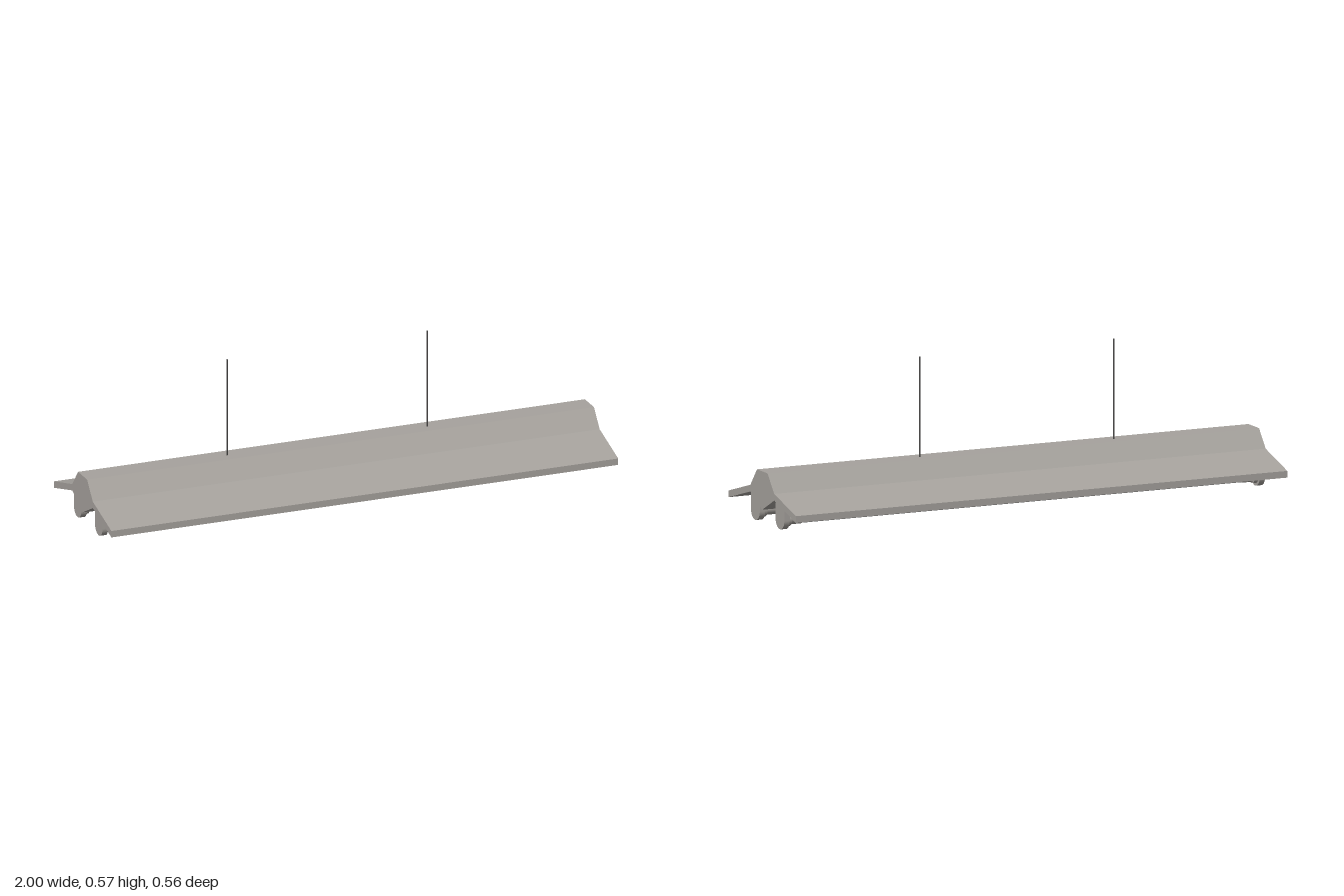
import * as THREE from 'three';

export function createModel() {
  const group = new THREE.Group();
  group.name = 'hangingStripLight';
  const mat = (name, color) => new THREE.MeshStandardMaterial({ name, color });
  const housing = mat('housing grey', 0xa6a29d);
  const glass = mat('tube grey', 0xb0b0b0);
  const metal = mat('rod dark grey', 0x4c4a49);

  const add = (name, geometry, material, x = 0, y = 0, z = 0) => {
    const mesh = new THREE.Mesh(geometry, material);
    mesh.name = name;
    mesh.position.set(x, y, z);
    group.add(mesh);
    return mesh;
  };
  // Extrudes a (-z, y) profile along x, centred on x = 0
  const extrudeX = (shape, length) =>
    new THREE.ExtrudeGeometry(shape, { depth: length, bevelEnabled: false, curveSegments: 16 })
      .translate(0, 0, -length / 2).rotateY(Math.PI / 2);
  // Cylinder lying along x
  const rodX = (radius, length) =>
    new THREE.CylinderGeometry(radius, radius, length, 24).rotateZ(Math.PI / 2);

  // Winged reflector with raised spine and V-shaped underside
  const profile = [
    [-0.279, 0.056], [-0.099, 0.108], [0, 0.057], [0.099, 0.108], [0.279, 0.056],
    [0.279, 0.081], [0.099, 0.133], [0.044, 0.2], [-0.044, 0.2], [-0.099, 0.133], [-0.279, 0.081],
  ].map(([u, v]) => new THREE.Vector2(u, v));
  add('reflectorBody', extrudeX(new THREE.Shape(profile), 2), housing);

  // Socket plate: straight sides with a round lower end
  const r = 0.0368;
  const socket = new THREE.Shape();
  socket.moveTo(r, 0.105);
  socket.lineTo(-r, 0.105);
  socket.lineTo(-r, r);
  socket.absarc(0, r, r, Math.PI, 2 * Math.PI, false);
  socket.lineTo(r, 0.105);

  // Two tubes, each held between a pair of sockets
  for (const z of [0.102, -0.102]) {
    add('lampTube', rodX(0.0195, 1.82), glass, 0, r, z);
    for (const side of [-1, 1]) {
      add('socketPlate', extrudeX(socket, 0.022), housing, side * 0.967, 0, z);
      add('socketCollar', rodX(0.027, 0.015), housing, side * 0.949, r, z);
      add('tubeCap', rodX(0.0212, 0.06), housing, side * 0.925, r, z);
    }
  }

  // Suspension rods
  for (const x of [-0.43, 0.36]) {
    add('suspensionRod', new THREE.CylinderGeometry(0.003, 0.003, 0.375, 8), metal, x, 0.3855, 0);
  }
  return group;
}
